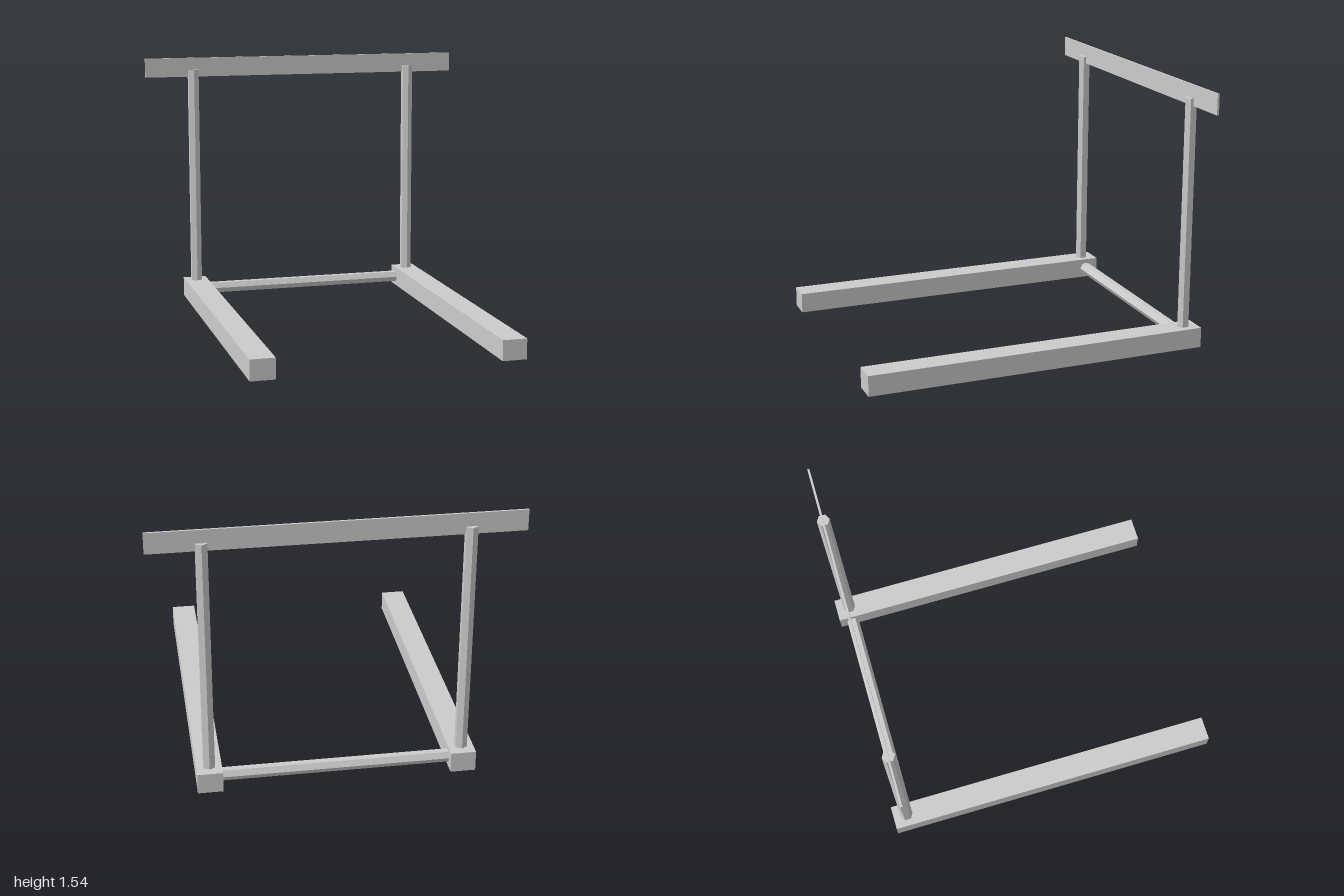
import * as THREE from 'three';

export function createModel() {
  const model = new THREE.Group();
  model.name = 'hurdle';
  const material = new THREE.MeshStandardMaterial({ color: 0xcccccc, flatShading: true });

  const add = (name, geometry, x, y, z) => {
    const mesh = new THREE.Mesh(geometry, material);
    mesh.name = name;
    mesh.position.set(x, y, z);
    model.add(mesh);
    return mesh;
  };

  const footHeight = 0.118, footWidth = 0.141;
  const tubeRadius = 0.0365, frameZ = -0.919;
  const postTop = 1.463, postBottom = 0.06;
  const rightX = -0.698, leftX = 0.71;

  // Long feet, each carrying a hexagonal upright near its back end
  for (const [side, x] of [['right', rightX], ['left', leftX]]) {
    add(side + 'Foot', new THREE.BoxGeometry(footWidth, footHeight, 2), x, footHeight / 2, 0);
    const height = postTop - postBottom;
    add(side + 'Post', new THREE.CylinderGeometry(tubeRadius, tubeRadius, height, 6),
      x - 0.001, postBottom + height / 2, frameZ);
  }

  // Hexagonal crossbar joining the feet
  const bar = add('crossbar', new THREE.CylinderGeometry(tubeRadius, tubeRadius, leftX - rightX, 6),
    (leftX + rightX) / 2, 0.06, frameZ);
  bar.rotation.z = Math.PI / 2;

  // Thin board across the top of the posts
  add('topBoard', new THREE.BoxGeometry(2, 0.118, 0.012), 0, 1.479, -0.923);

  return model;
}
